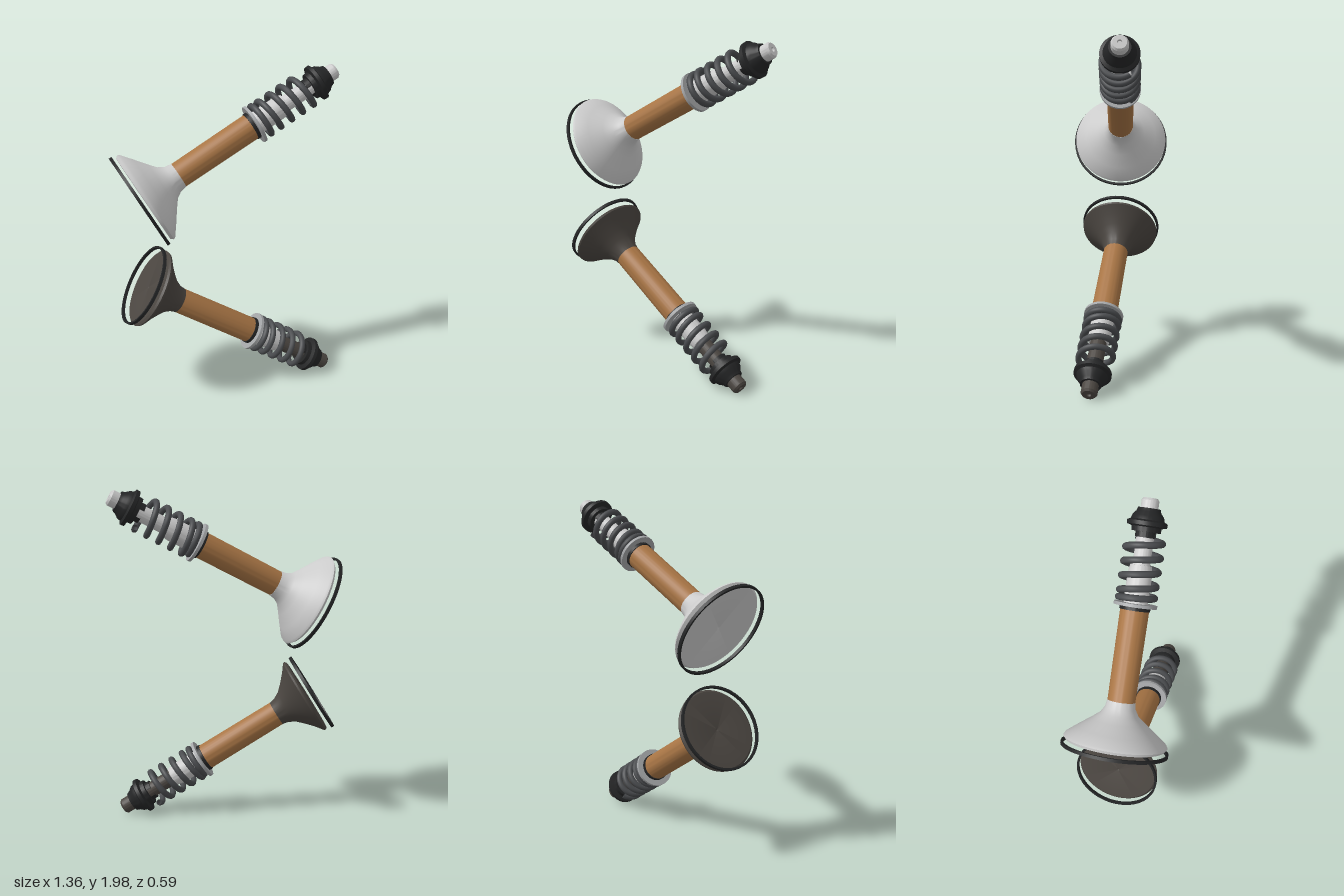
import * as THREE from 'three';
import { toCreasedNormals } from 'three/addons/utils/BufferGeometryUtils.js';

const TAN = 0xa87545, SPRING = 0x4a4c4f, BLACK = 0x242526, WASHER = 0xa4a6a8, SLEEVE = 0xcccccc;

function add(group, name, geometry, color) {
  const material = new THREE.MeshStandardMaterial({ color, side: THREE.DoubleSide });
  const mesh = new THREE.Mesh(geometry, material);
  mesh.name = name;
  group.add(mesh);
  return mesh;
}

// Turned part: profile of [radius, height], listed from the bottom up the outside
function turned(profile, start = 0, sweep = Math.PI * 2) {
  const points = profile.map(([r, y]) => new THREE.Vector2(r, y));
  return toCreasedNormals(new THREE.LatheGeometry(points, 56, start, sweep), 0.6);
}

// Hollow band with a square section
function band(inner, outer, y0, y1, start, sweep) {
  return turned([[inner, y0], [outer, y0], [outer, y1], [inner, y1], [inner, y0]], start, sweep);
}

// Coil spring: one tight turn at the seat, then open turns
class Coil extends THREE.Curve {
  getPoint(t, target = new THREE.Vector3()) {
    const turn = t * 5;
    const y = turn < 1 ? 0.815 + 0.03 * turn : 0.845 + 0.076 * (turn - 1);
    const a = Math.PI * 2 * (turn - 0.4) + Math.PI;
    return target.set(0.097 * Math.cos(a), y, -0.097 * Math.sin(a));
  }
}

// One valve, standing along +y with its seat ring at the origin
function valve(name, base, tip, headProfile, ringRadius, metal) {
  const g = new THREE.Group();
  g.name = name;
  const axis = tip.clone().sub(base);
  const end = axis.length();

  // Head, with a small dimple in its face
  const y0 = headProfile[0][1];
  add(g, 'valveHead', turned([[0, y0 + 0.008], [0.012, y0], ...headProfile]), metal);
  add(g, 'seatRing', band(ringRadius - 0.012, ringRadius, -0.009, 0.009), BLACK);

  // Guide sleeve and its seals
  add(g, 'guide', turned([[0, 0.25], [0.076, 0.25], [0.078, 0.765], [0, 0.765]]), TAN);
  add(g, 'guideSeal', turned([[0, 0.76], [0.083, 0.76], [0.083, 0.782], [0, 0.782]]), BLACK);
  add(g, 'springSeat', band(0.06, 0.117, 0.78, 0.797), WASHER);
  add(g, 'stemSeal', turned([[0.04, 0.78], [0.066, 0.78], [0.066, 0.95], [0.058, 1.0], [0.04, 1.0]]), SLEEVE);

  // Stem and drilled tip
  add(g, 'stem', turned([
    [0, 0.75], [0.047, 0.75], [0.047, end - 0.012], [0.038, end],
    [0.014, end], [0.012, end - 0.012], [0, end - 0.012],
  ]), metal);

  add(g, 'spring', new THREE.TubeGeometry(new Coil(), 300, 0.018, 10), SPRING);

  // Retainer cap and split keepers
  add(g, 'retainer', turned([
    [0.047, 1.175], [0.078, 1.175], [0.08, 1.2], [0.107, 1.207], [0.108, 1.228],
    [0.09, 1.237], [0.084, 1.258], [0.066, 1.28], [0.06, 1.298], [0.047, 1.298],
  ]), BLACK);
  for (const start of [0.4, 0.4 + Math.PI]) {
    add(g, 'keeper', band(0.045, 0.057, 1.145, 1.18, start, 2.3), BLACK);
  }

  g.position.copy(base);
  g.quaternion.setFromUnitVectors(new THREE.Vector3(0, 1, 0), axis.normalize());
  return g;
}

export function createModel() {
  const model = new THREE.Group();
  model.name = 'valvePair';

  model.add(valve(
    'largeValve', new THREE.Vector3(-0.535, 1.325, 0), new THREE.Vector3(0.655, 1.96, -0.085),
    [[0.272, 0.024], [0.286, 0.04], [0.278, 0.054], [0.22, 0.1], [0.15, 0.153],
      [0.105, 0.19], [0.084, 0.225], [0.077, 0.265], [0, 0.265]],
    0.296, 0xdcdcda,
  ));
  model.add(valve(
    'smallValve', new THREE.Vector3(-0.537, 0.776, 0), new THREE.Vector3(0.615, 0.052, 0.087),
    [[0.228, 0.034], [0.241, 0.044], [0.238, 0.055], [0.19, 0.092], [0.142, 0.136],
      [0.105, 0.175], [0.083, 0.215], [0.075, 0.255], [0, 0.255]],
    0.248, 0x4b4641,
  ));
  return model;
}
